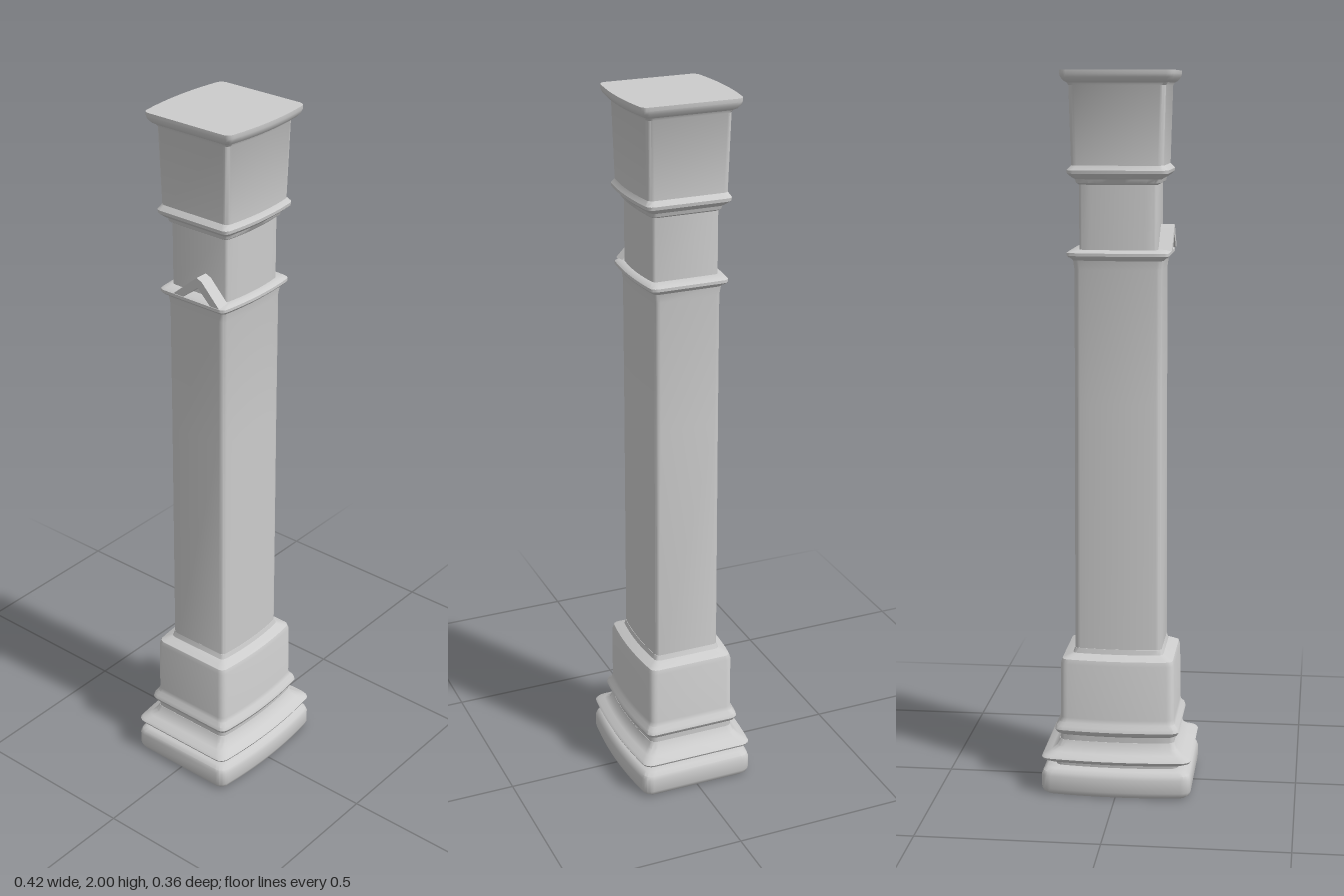
import * as THREE from 'three';
import { toCreasedNormals } from 'three/addons/utils/BufferGeometryUtils.js';

const material = new THREE.MeshStandardMaterial({ color: 0xcccccc });

// Cross-section: flat sides, gently bowed front and back, rounded corners
function section(hx, hz) {
  const r = 0.13 * hx, bow = 0.09 * hz, corner = [];
  for (let i = 0; i <= 5; i++) {
    const x = (i / 5) * (hx - r);
    corner.push([x, hz - bow * (x / hx) ** 2]);
  }
  const zc = corner[5][1] - r;
  for (let i = 1; i <= 4; i++) {
    const a = (i / 4) * Math.PI / 2;
    corner.push([hx - r + r * Math.sin(a), zc + r * Math.cos(a)]);
  }
  const right = [...corner, ...corner.map(([x, z]) => [x, -z]).reverse()];
  const left = right.slice(1, -1).map(([x, z]) => [-x, z]).reverse();
  return [...right, ...left];
}

// Loft through rows of [y, half width, half depth], closed at both ends
function loft(name, rows) {
  const pos = [], index = [];
  const n = section(1, 1).length;
  for (const [y, hx, hz] of rows) {
    for (const [x, z] of section(hx, hz)) pos.push(x, y, z);
  }
  for (let j = 0; j < rows.length - 1; j++) {
    for (let i = 0; i < n; i++) {
      const a = j * n + i, b = j * n + (i + 1) % n;
      index.push(a, b, b + n, a, b + n, a + n);
    }
  }
  const last = (rows.length - 1) * n, bottom = rows.length * n;
  pos.push(0, rows[0][0], 0, 0, rows[rows.length - 1][0], 0);
  for (let i = 0; i < n; i++) {
    const k = (i + 1) % n;
    index.push(bottom, k, i, bottom + 1, last + i, last + k);
  }
  const geometry = new THREE.BufferGeometry();
  geometry.setAttribute('position', new THREE.Float32BufferAttribute(pos, 3));
  geometry.setIndex(index);
  const mesh = new THREE.Mesh(toCreasedNormals(geometry, 0.6), material);
  mesh.name = name;
  return mesh;
}

export function createModel() {
  const group = new THREE.Group();
  group.name = 'column';

  group.add(
    loft('plinth', [
      [0, 0.198, 0.168], [0.007, 0.206, 0.176], [0.018, 0.21, 0.18], [0.055, 0.21, 0.18],
      [0.066, 0.206, 0.176], [0.075, 0.195, 0.166], [0.078, 0.172, 0.145],
    ]),
    loft('baseMoulding', [
      [0.076, 0.172, 0.145], [0.087, 0.174, 0.146], [0.092, 0.19, 0.162], [0.1, 0.207, 0.176],
      [0.106, 0.21, 0.179], [0.112, 0.205, 0.174], [0.12, 0.185, 0.157], [0.132, 0.17, 0.144],
      [0.15, 0.162, 0.138],
    ]),
    loft('pedestal', [
      [0.145, 0.161, 0.137], [0.166, 0.161, 0.138], [0.172, 0.17, 0.147], [0.182, 0.175, 0.152],
      [0.192, 0.172, 0.149], [0.202, 0.163, 0.14], [0.215, 0.16, 0.137], [0.37, 0.159, 0.136],
      [0.383, 0.155, 0.132], [0.389, 0.143, 0.121], [0.396, 0.127, 0.107], [0.41, 0.122, 0.104],
    ]),
    loft('shaft', [
      [0.4, 0.122, 0.103], [1.1, 0.12, 0.102], [1.47, 0.12, 0.102], [1.495, 0.123, 0.106],
      [1.505, 0.134, 0.116],
    ]),
    loft('shaftLedge', [
      [1.503, 0.134, 0.116], [1.508, 0.139, 0.12], [1.516, 0.139, 0.12], [1.521, 0.132, 0.114],
      [1.524, 0.106, 0.102],
    ]),
    loft('neck', [[1.52, 0.106, 0.102], [1.705, 0.106, 0.102]]),
    loft('capitalMoulding', [
      [1.698, 0.106, 0.102], [1.703, 0.114, 0.108], [1.713, 0.117, 0.111], [1.718, 0.125, 0.118],
      [1.728, 0.136, 0.129], [1.737, 0.137, 0.13], [1.744, 0.131, 0.125], [1.75, 0.125, 0.122],
    ]),
    loft('capitalBlock', [[1.745, 0.125, 0.122], [1.96, 0.131, 0.128], [1.97, 0.137, 0.134]]),
    loft('capSlab', [
      [1.966, 0.133, 0.13], [1.972, 0.143, 0.142], [1.981, 0.15, 0.149], [1.99, 0.153, 0.152],
      [2, 0.153, 0.152],
    ]),
  );

  // Small bent strip standing on the ledge at the side
  const outline = [
    [-0.055, 1.52], [0.01, 1.575], [0.025, 1.587], [0.042, 1.58], [0.1, 1.52],
    [0.07, 1.52], [0.028, 1.56], [-0.022, 1.52],
  ];
  const shape = new THREE.Shape(outline.map(([z, y]) => new THREE.Vector2(-z, y)));
  const strip = new THREE.Mesh(
    new THREE.ExtrudeGeometry(shape, { depth: 0.037, bevelEnabled: false }), material);
  strip.rotation.y = Math.PI / 2;
  strip.position.x = -0.143;
  strip.name = 'bentStrip';
  group.add(strip);

  return group;
}
